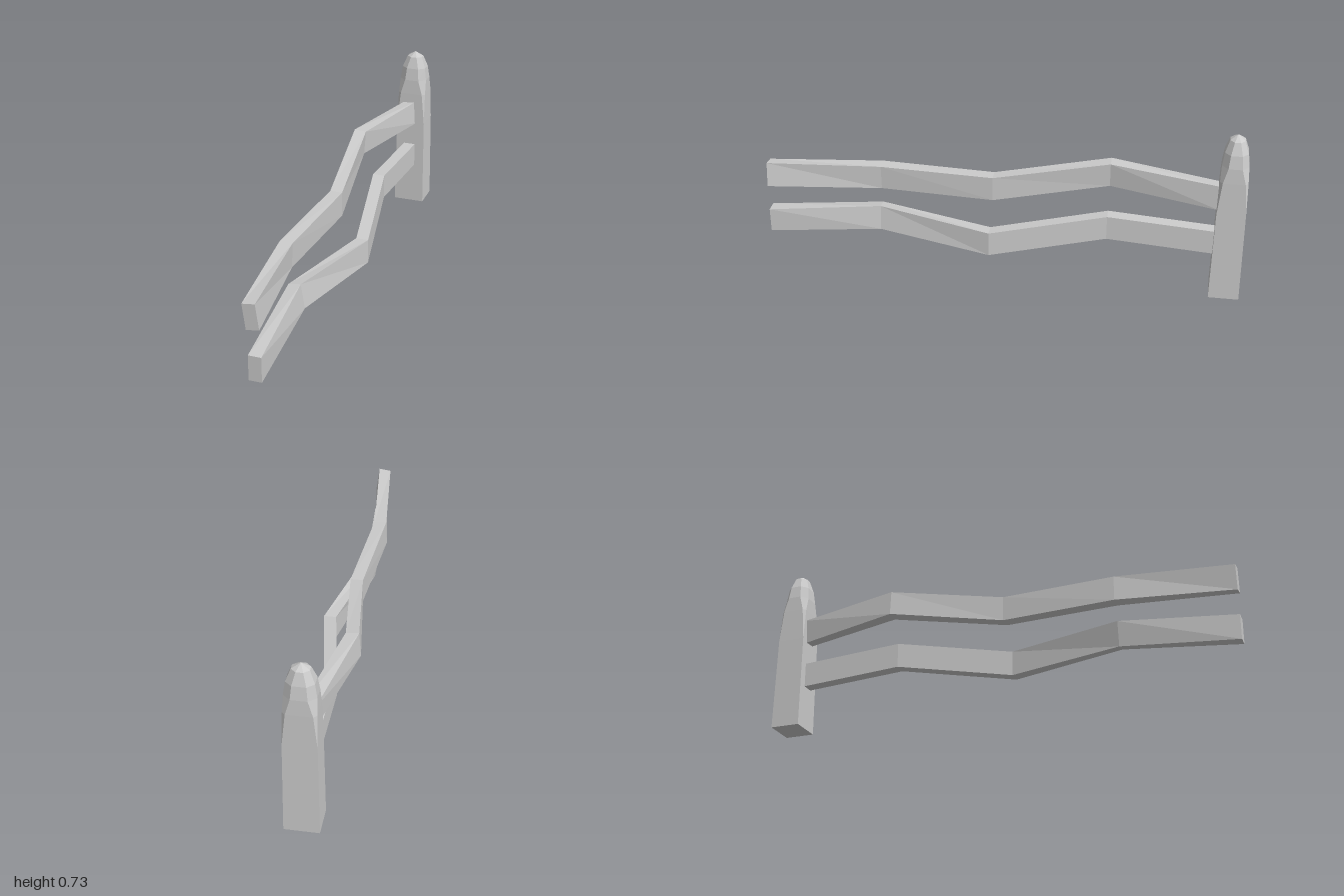
import * as THREE from 'three';

const material = new THREE.MeshStandardMaterial({ color: 0xcccccc, flatShading: true });

// Closed solid through a list of equal-length rings, capped at both ends
function loft(name, rings) {
  const n = rings[0].length;
  const index = [];
  for (let j = 0; j < rings.length - 1; j++) {
    for (let i = 0; i < n; i++) {
      const a = j * n + i, b = j * n + (i + 1) % n;
      index.push(a, b, b + n, a, b + n, a + n);
    }
  }
  const last = (rings.length - 1) * n;
  for (let i = 1; i < n - 1; i++) {
    index.push(0, i + 1, i, last, last + i, last + i + 1);
  }
  const geometry = new THREE.BufferGeometry();
  geometry.setAttribute('position', new THREE.Float32BufferAttribute(rings.flat(2), 3));
  geometry.setIndex(index);
  geometry.computeVertexNormals();
  const mesh = new THREE.Mesh(geometry, material);
  mesh.name = name;
  return mesh;
}

// Post: square foot whose corners open into chamfers towards a rounded tip
function buildPost() {
  // height, half width, half depth, uncut share of each side
  const levels = [
    [0, 0.069, 0.0625, 1],
    [0.4, 0.065, 0.0585, 1],
    [0.54, 0.063, 0.056, 0.8],
    [0.605, 0.061, 0.0535, 0.52],
    [0.66, 0.053, 0.046, 0.5],
    [0.71, 0.034, 0.03, 0.4],
    [0.73, 0.002, 0.002, 0.4],
  ];
  const post = loft('post', levels.map(([y, w, d, s]) => [
    [-s, 1], [s, 1], [1, s], [1, -s], [s, -1], [-s, -1], [-1, -s], [-1, s],
  ].map(([x, z]) => [x * w, y, z * d])));
  post.position.set(0.014, 0, -0.9375);
  return post;
}

// Rail: rectangular beam through stations of z, centre x, centre y, roll
function buildRail(name, stations) {
  const w = 0.026, h = 0.0525;
  return loft(name, stations.map(([z, cx, cy, roll]) => {
    const c = Math.cos(roll), s = Math.sin(roll);
    return [[-w, -h], [w, -h], [w, h], [-w, h]]
      .map(([x, y]) => [cx + x * c - y * s, cy + x * s + y * c, z]);
  }));
}

export function createModel() {
  const fence = new THREE.Group();
  fence.name = 'fence';
  fence.add(
    buildPost(),
    buildRail('upperRail', [
      [-0.89, 0.008, 0.444, 0.07],
      [-0.44, -0.088, 0.464, -0.07],
      [0.04, -0.024, 0.39, 0],
      [0.52, -0.055, 0.388, -0.04],
      [1, 0.002, 0.388, 0.13],
    ]),
    buildRail('lowerRail', [
      [-0.89, 0.012, 0.238, 0],
      [-0.44, 0.003, 0.263, 0],
      [0.04, 0.09, 0.191, 0],
      [0.52, -0.014, 0.211, 0.15],
      [1, 0.013, 0.175, 0],
    ]),
  );
  return fence;
}
